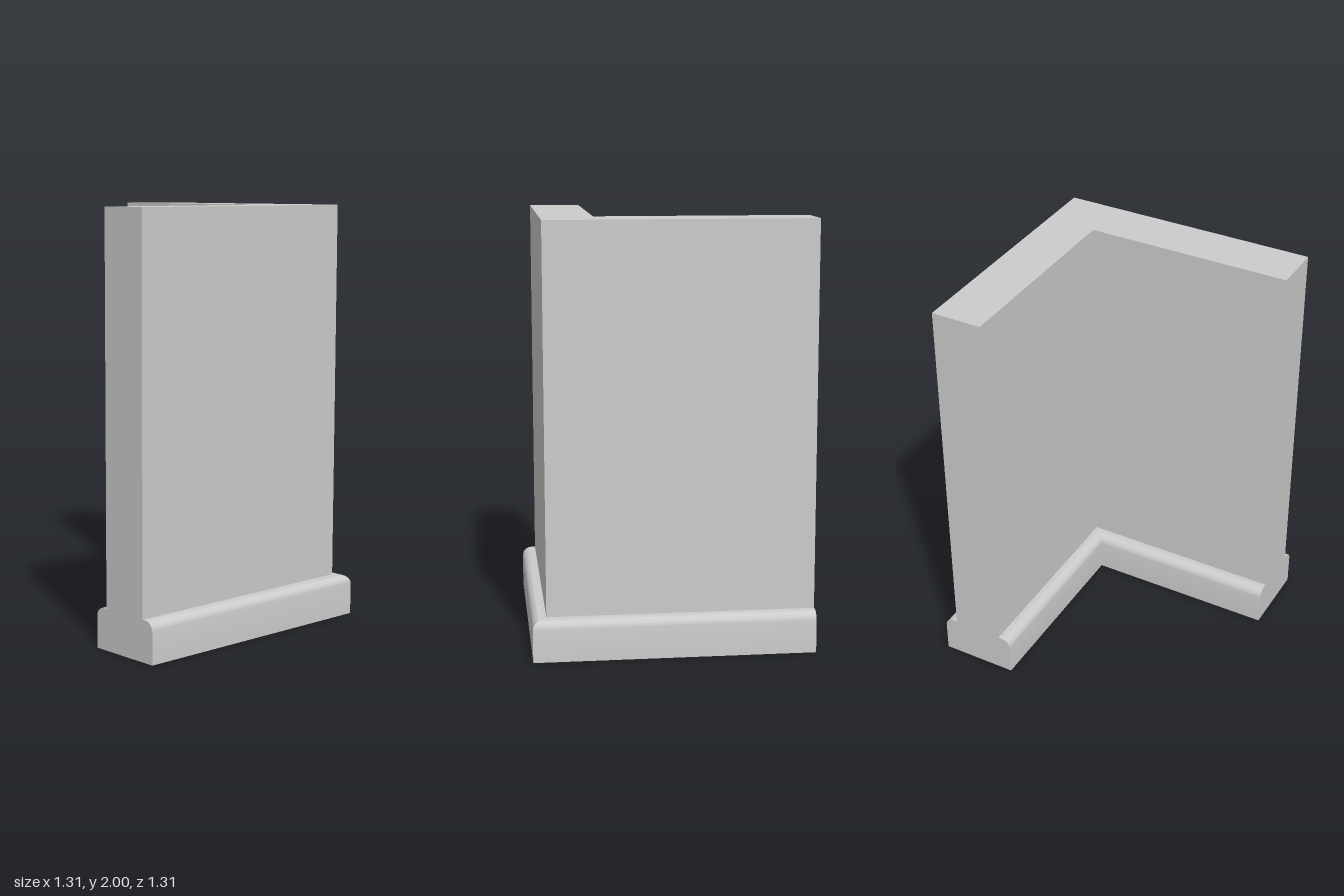
import * as THREE from 'three';
import { toCreasedNormals } from 'three/addons/utils/BufferGeometryUtils.js';

const END = 0.655;     // half extent, also the outer face of the plinth
const HEIGHT = 2;
const MID = 0.4675;    // centre line of the wall
const WALL = 0.123;    // half thickness of the wall
const PLINTH = 0.1875; // half thickness of the plinth
const PLINTH_TOP = 0.195;
const ROUND = 0.045;

// Cross-section of wall and round-edged plinth; x is the negated distance from the centre
function crossSection() {
  const s = new THREE.Shape();
  const inner = -MID + PLINTH, outer = -MID - PLINTH, y = PLINTH_TOP - ROUND;
  s.moveTo(outer, 0);
  s.lineTo(inner, 0);
  s.lineTo(inner, y);
  s.absarc(inner - ROUND, y, ROUND, 0, Math.PI / 2, false);
  s.lineTo(-MID + WALL, PLINTH_TOP);
  s.lineTo(-MID + WALL, HEIGHT);
  s.lineTo(-MID - WALL, HEIGHT);
  s.lineTo(-MID - WALL, PLINTH_TOP);
  s.absarc(outer + ROUND, y, ROUND, Math.PI / 2, Math.PI, false);
  s.closePath();
  return s;
}

export function createModel() {
  const group = new THREE.Group();
  group.name = 'cornerWall';

  // Extrude in two steps, then bend the run into a mitred L
  const geo = new THREE.ExtrudeGeometry(crossSection(), {
    depth: 2, steps: 2, bevelEnabled: false, curveSegments: 10,
  });
  const p = geo.attributes.position;
  for (let i = 0; i < p.count; i++) {
    const offset = -p.getX(i);
    const station = Math.round(p.getZ(i)); // 0 left end, 1 corner, 2 back end
    p.setX(i, station === 0 ? -END : offset);
    p.setZ(i, station === 2 ? -END : offset);
  }

  const wall = new THREE.Mesh(
    toCreasedNormals(geo, 0.6),
    new THREE.MeshStandardMaterial({ color: 0xcccccc })
  );
  wall.name = 'wallWithPlinth';
  group.add(wall);
  return group;
}
